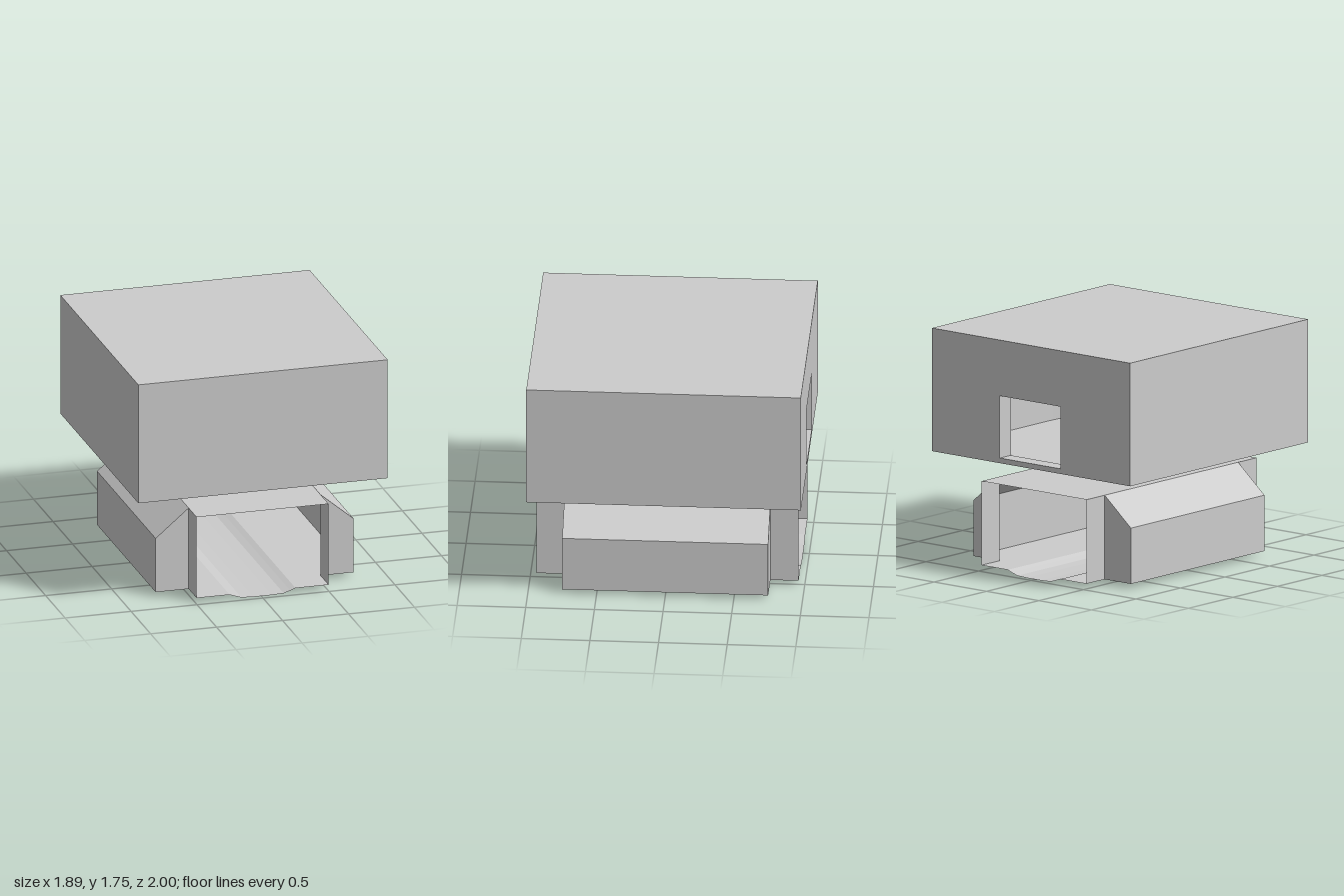
import * as THREE from 'three';

const material = new THREE.MeshStandardMaterial({
  color: 0xcccccc, flatShading: true, side: THREE.DoubleSide,
});

// Skin stretched over rows of points (all rows the same length)
function loft(rows) {
  const n = rows[0].length;
  const index = [];
  for (let r = 0; r < rows.length - 1; r++) {
    for (let i = 0; i < n - 1; i++) {
      const a = r * n + i, b = a + 1, c = a + n, d = c + 1;
      index.push(a, c, b, b, c, d);
    }
  }
  const g = new THREE.BufferGeometry();
  g.setAttribute('position', new THREE.Float32BufferAttribute(rows.flat(2), 3));
  g.setIndex(index);
  const flat = g.toNonIndexed();
  flat.computeVertexNormals();
  return flat;
}

// Open sheet: an x-y polyline swept from z0 to z1
const sweep = (line, z0, z1) =>
  loft([z1, z0].map(z => line.map(([x, y]) => [x, y, z])));

// Flat panel from an outline, with optional holes
function panel(outline, holes = []) {
  const toV = pts => pts.map(([x, y]) => new THREE.Vector2(x, y));
  const shape = new THREE.Shape(toV(outline));
  holes.forEach(h => shape.holes.push(new THREE.Path(toV(h))));
  return new THREE.ShapeGeometry(shape);
}
const upright = (outline, z, holes) => panel(outline, holes).translate(0, 0, z);
const level = (outline, y, holes) => panel(outline, holes).rotateX(Math.PI / 2).translate(0, y, 0);
const rect = (x0, y0, x1, y1) => [[x0, y0], [x1, y0], [x1, y1], [x0, y1]];

export function createModel() {
  const model = new THREE.Group();
  const group = name => {
    const g = new THREE.Group();
    g.name = name;
    model.add(g);
    return g;
  };
  const add = (parent, name, geometry) => {
    const mesh = new THREE.Mesh(geometry, material);
    mesh.name = name;
    parent.add(mesh);
  };

  // Shared sizes
  const W = 0.945, bottom = 0.83, top = 1.745;
  const floorY = 0.865, backZ = -0.875;
  const cx = 0.01, flueR = 0.25, lidY = 0.66, trayY = 0.035;
  const windowHole = rect(-0.28, 0.868, 0.298, 1.33);
  const flueHole = Array.from({ length: 24 }, (_, i) => {
    const a = (i / 24) * Math.PI * 2;
    return [cx + flueR * Math.cos(a), flueR * Math.sin(a)];
  });

  // Outer housing, open underneath, with a window at the back
  const housing = group('housing');
  add(housing, 'housingSidesAndTop', sweep([[W, bottom], [W, top], [-W, top], [-W, bottom]], -1, 1));
  add(housing, 'housingFront', upright(rect(-W, bottom, W, top), 1));
  add(housing, 'housingBack', upright(rect(-W, bottom, W, top), -1, [windowHole]));
  add(housing, 'windowTunnel', sweep([...windowHole, windowHole[0]], -1, backZ));

  // Inner chamber: rounded front corners, rounded edge under the ceiling
  const chamber = group('chamber');
  const plan = d => {
    const R = 0.6 - d, half = [];
    half.push([0.87 - d, backZ]);
    for (let i = 0; i <= 8; i++) {
      const a = (i / 8) * Math.PI / 2;
      half.push([0.27 + R * Math.cos(a), 0.275 + R * Math.sin(a)]);
    }
    return [...half, ...half.map(([x, z]) => [-x, z]).reverse()];
  };
  const levels = [[floorY, 0]];
  const edge = 0.25, wallTop = 1.38;
  for (let i = 0; i <= 6; i++) {
    const a = (i / 6) * Math.PI / 2;
    levels.push([wallTop + edge * Math.sin(a), edge * (1 - Math.cos(a))]);
  }
  add(chamber, 'chamberWall', loft(levels.map(([y, d]) => plan(d).map(([x, z]) => [x, y, z]))));
  add(chamber, 'chamberFloor', level(plan(0), floorY, [flueHole]));
  add(chamber, 'chamberCeiling', level(plan(edge), wallTop + edge));
  const side = levels.map(([y, d]) => [0.87 - d, y]);
  const backOutline = [...side, ...side.map(([x, y]) => [-x, y]).reverse()];
  add(chamber, 'chamberBack', upright(backOutline, backZ, [windowHole]));

  // Flue joining the lower duct to the chamber
  const flue = new THREE.CylinderGeometry(flueR, flueR, floorY - lidY, 24, 1, true);
  add(model, 'flue', flue.translate(cx, (floorY + lidY) / 2, 0));

  // Lower duct, open at both ends, with a shallow channel in its floor
  const duct = group('duct');
  const L = 0.955, bayZ = 0.75;
  add(duct, 'ductLid', level(rect(cx - 0.5, -L, cx + 0.5, L), lidY, [flueHole]));
  const floorLine = [[-0.5, trayY], [-0.25, trayY], [-0.21, 0.02], [-0.16, 0.004], [-0.07, 0],
    [0.07, 0], [0.16, 0.004], [0.21, 0.02], [0.25, trayY], [0.5, trayY]];
  add(duct, 'ductFloor', sweep(floorLine.map(([x, y]) => [x + cx, y]), -L, L));

  // Each side: two short wall strips and a hollow sloped bay between them
  for (const s of [1, -1]) {
    const bay = [[0.5, trayY], [0.75, trayY], [0.75, 0.45], [0.5, lidY]].map(([x, y]) => [cx + s * x, y]);
    add(duct, 'sideBay', sweep(bay, -bayZ, bayZ));
    for (const e of [1, -1]) {
      add(duct, 'bayEnd', upright(bay, e * bayZ));
      add(duct, 'ductWall', sweep([bay[0], bay[3]], e * bayZ, e * L));
    }
  }
  return model;
}
